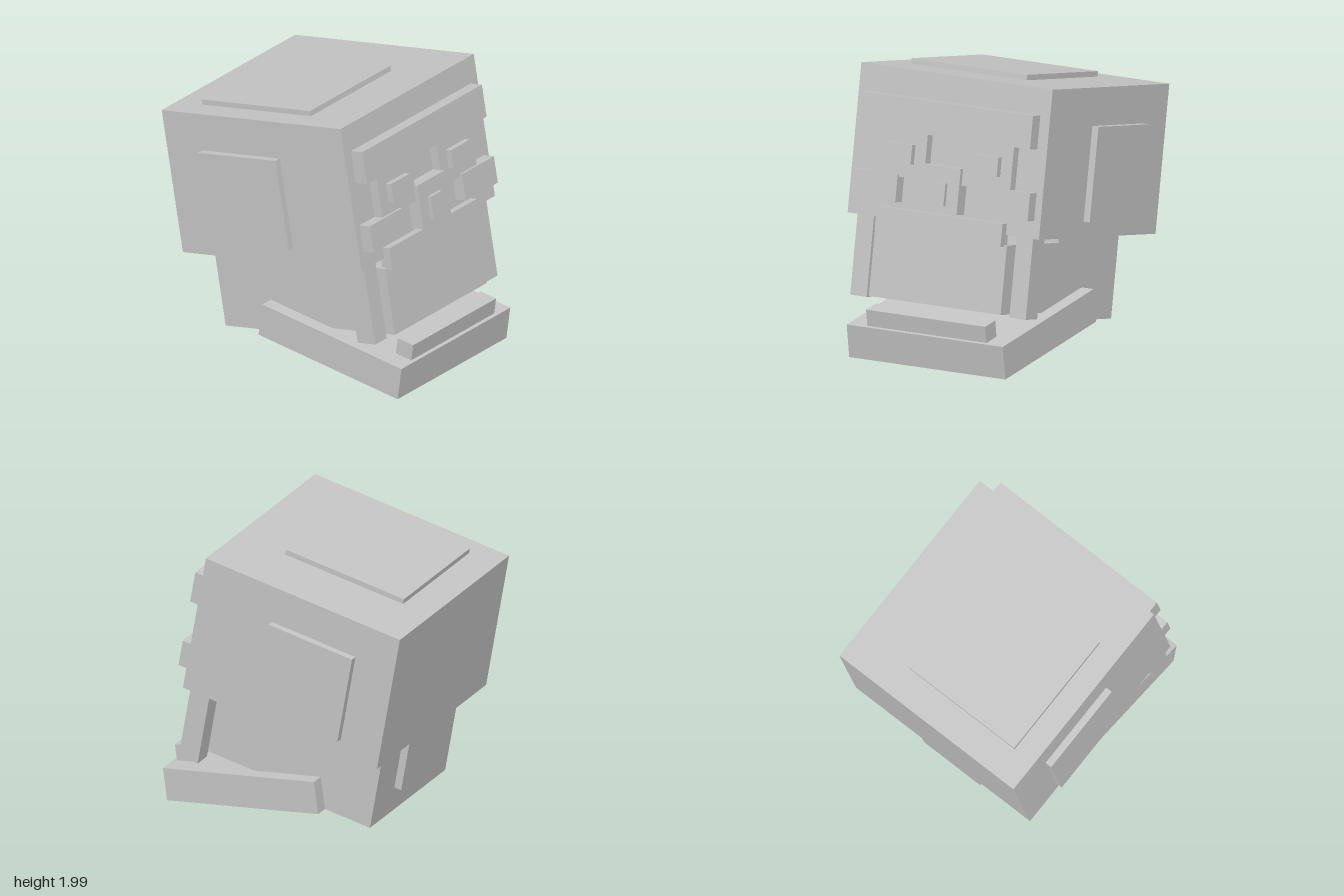
import * as THREE from 'three';

export function createModel() {
  const model = new THREE.Group();
  model.name = 'skull';
  const bone = new THREE.MeshStandardMaterial({ color: 0xc4c4c4 });
  bone.name = 'bone grey';

  // Box given by its low and high limits on each axis
  function block(parent, name, [x0, x1], [y0, y1], [z0, z1]) {
    const mesh = new THREE.Mesh(new THREE.BoxGeometry(x1 - x0, y1 - y0, z1 - z0), bone);
    mesh.position.set((x0 + x1) / 2, (y0 + y1) / 2, (z0 + z1) / 2);
    mesh.name = name;
    parent.add(mesh);
  }
  // The same box on both sides of the face
  function pair(parent, name, [x0, x1], y, z) {
    block(parent, name + 'Left', [x0, x1], y, z);
    block(parent, name + 'Right', [-x1, -x0], y, z);
  }

  // Upper skull, tilted back
  const head = new THREE.Group();
  head.name = 'upperSkull';
  head.rotation.x = THREE.MathUtils.degToRad(-10);
  model.add(head);

  block(head, 'cranium', [-0.775, 0.775], [0.829, 1.872], [-0.655, 0.898]);
  block(head, 'crownPlate', [-0.605, 0.33], [1.85, 1.91], [-0.43, 0.514]);
  pair(head, 'templePlate', [0.75, 0.825], [0.94, 1.604], [-0.347, 0.323]);

  // Face
  block(head, 'brow', [-0.697, 0.695], [1.449, 1.683], [0.87, 0.995]);
  pair(head, 'eyeSocket', [0.15, 0.548], [1.13, 1.46], [0.87, 0.965]);
  pair(head, 'eye', [0.24, 0.458], [1.229, 1.365], [0.93, 1.011]);
  pair(head, 'cheekbone', [0.35, 0.722], [0.953, 1.147], [0.87, 0.985]);
  block(head, 'nose', [-0.163, 0.157], [0.926, 1.246], [0.87, 0.997]);
  block(head, 'noseTip', [-0.07, 0.062], [0.977, 1.134], [0.96, 1.025]);
  block(head, 'upperLip', [-0.512, 0.507], [0.746, 0.908], [0.87, 0.956]);

  // Upper jaw, skull base and the posts beside them
  block(head, 'upperJaw', [-0.535, 0.532], [0.277, 0.76], [0.226, 0.912]);
  block(head, 'skullBase', [-0.535, 0.532], [0.212, 0.84], [-0.571, 0.226]);
  block(head, 'napePlate', [-0.25, 0.25], [0.415, 0.828], [-0.626, -0.56]);
  pair(head, 'jawPost', [0.578, 0.711], [0.264, 0.84], [0.717, 0.869]);

  // Lower jaw, dropped open
  const jaw = new THREE.Group();
  jaw.name = 'lowerJaw';
  jaw.position.set(0, 0.208, 0.367);
  jaw.rotation.x = THREE.MathUtils.degToRad(8);
  model.add(jaw);

  block(jaw, 'mandible', [-0.635, 0.63], [-0.12, 0.12], [-0.601, 0.601]);
  block(jaw, 'lowerTeeth', [-0.485, 0.48], [0.1, 0.239], [0.44, 0.573]);

  return model;
}
